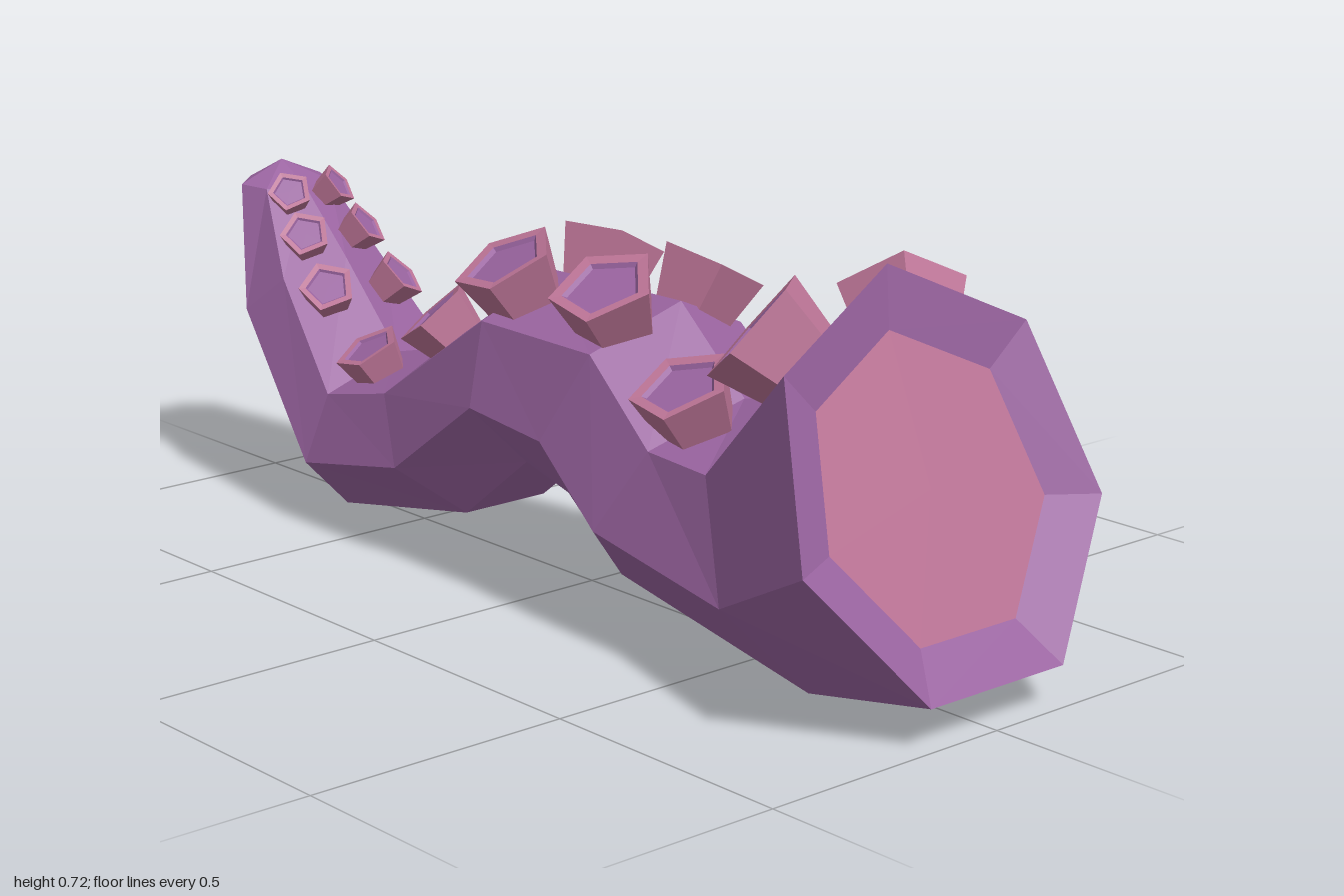
import * as THREE from 'three';

const SIDES = 7;
const purple = new THREE.MeshStandardMaterial({ color: 0x9a64a0, flatShading: true });
const pink = new THREE.MeshStandardMaterial({ color: 0xbc7496, flatShading: true });

// Cross-sections from cut end to tip: ridge x, y; underside x, y; half width
const rings = [
  [0.73, 0.725, 1.0, 0.075, 0.35],
  [0.48, 0.448, 0.68, 0.0, 0.25],
  [0.40, 0.43, 0.20, 0.085, 0.232],
  [0.237, 0.572, 0.05, 0.20, 0.222],
  [-0.107, 0.567, -0.07, 0.23, 0.217],
  [-0.437, 0.355, -0.25, 0.09, 0.21],
  [-0.58, 0.32, -0.63, 0.02, 0.2],
  [-0.74, 0.48, -0.93, 0.32, 0.155],
  [-0.87, 0.60, -1.0, 0.608, 0.095],
];

// Point on a heptagonal ring; angle runs from the ridge towards +z
function ringPoint([tx, ty, bx, by, w], angle) {
  const rx = (tx - bx) / 1.901, ry = (ty - by) / 1.901;
  const c = Math.cos(angle);
  return new THREE.Vector3(bx + rx * (0.901 + c), by + ry * (0.901 + c), (w / 0.975) * Math.sin(angle));
}

// Ring scaled about its centre and shifted
function insetRing(ring, scale, dx, dy) {
  const [tx, ty, bx, by, w] = ring;
  const cx = bx + 0.474 * (tx - bx), cy = by + 0.474 * (ty - by);
  const f = (v, c, d) => c + (v - c) * scale + d;
  return [f(tx, cx, dx), f(ty, cy, dy), f(bx, cx, dx), f(by, cy, dy), w * scale];
}

function loft(list) {
  const pos = [];
  for (let i = 0; i < list.length - 1; i++) {
    for (let k = 0; k < SIDES; k++) {
      const a0 = (k / SIDES) * Math.PI * 2, a1 = ((k + 1) / SIDES) * Math.PI * 2;
      const a = ringPoint(list[i], a0), b = ringPoint(list[i + 1], a0);
      const c = ringPoint(list[i + 1], a1), d = ringPoint(list[i], a1);
      if (list[i][4] > 0) pos.push(...a, ...b, ...d);
      if (list[i + 1][4] > 0) pos.push(...b, ...c, ...d);
    }
  }
  const g = new THREE.BufferGeometry();
  g.setAttribute('position', new THREE.Float32BufferAttribute(pos, 3));
  g.computeVertexNormals();
  return g;
}

function addMesh(parent, name, geometry, material) {
  const mesh = new THREE.Mesh(geometry, material);
  mesh.name = name;
  parent.add(mesh);
}

// Five-sided flared cup with a rim and a sunken centre
function makeSucker(r, h) {
  const lathe = (pts) => new THREE.LatheGeometry(pts.map(([x, y]) => new THREE.Vector2(x, y)), 5);
  const sucker = new THREE.Group();
  sucker.name = 'sucker';
  addMesh(sucker, 'suckerCup', lathe([[r * 0.68, -h * 0.4], [r, h], [r * 0.76, h * 0.98]]), pink);
  addMesh(sucker, 'suckerCentre', lathe([[r * 0.76, h * 0.98], [r * 0.68, h * 0.9], [0, h * 0.9]]), purple);
  return sucker;
}

// Suckers: position along the rings, lean in degrees towards +x, radius, height
const suckers = [
  [0.38, -44, 0.115, 0.1],
  [1.95, 0, 0.095, 0.09],
  [3.15, 6, 0.1, 0.085],
  [3.93, -8, 0.1, 0.085],
  [4.56, -33, 0.08, 0.07],
  [5.6, -10, 0.068, 0.06],
  [6.7, 38, 0.056, 0.05],
  [7.3, 42, 0.05, 0.045],
  [7.85, 45, 0.044, 0.04],
];

export function createModel() {
  const model = new THREE.Group();
  model.name = 'tentacle';

  // Arm with a sloping rim at the cut end and a short pointed tip
  const cut = insetRing(rings[0], 0.72, -0.032, -0.0135);
  const tip = [-0.95, 0.645, -0.95, 0.645, 0];
  addMesh(model, 'arm', loft([cut, ...rings, tip]), purple);
  addMesh(model, 'cutFlesh', loft([insetRing(cut, 0, 0, 0), cut]), pink);

  // Two mirrored rows of suckers on the upper faces
  suckers.forEach(([s, leanDeg, r, h], n) => {
    const i = Math.floor(s), t = s - i;
    const mix = rings[i].map((v, j) => v + (rings[i + 1][j] - v) * t);
    const ridge = ringPoint(mix, 0), shoulder = ringPoint(mix, (Math.PI * 2) / SIDES);
    const base = ridge.lerp(shoulder, 0.5);
    const lean = THREE.MathUtils.degToRad(leanDeg);
    const tilt = 0.48;
    for (const side of [1, -1]) {
      const sucker = makeSucker(r, h);
      const normal = new THREE.Vector3(
        Math.sin(lean) * Math.cos(tilt), Math.cos(lean) * Math.cos(tilt), side * Math.sin(tilt));
      sucker.position.set(base.x, base.y, side * base.z);
      sucker.quaternion.setFromUnitVectors(new THREE.Vector3(0, 1, 0), normal);
      sucker.rotateY(n * 1.3 + side * 0.4);
      model.add(sucker);
    }
  });
  return model;
}
